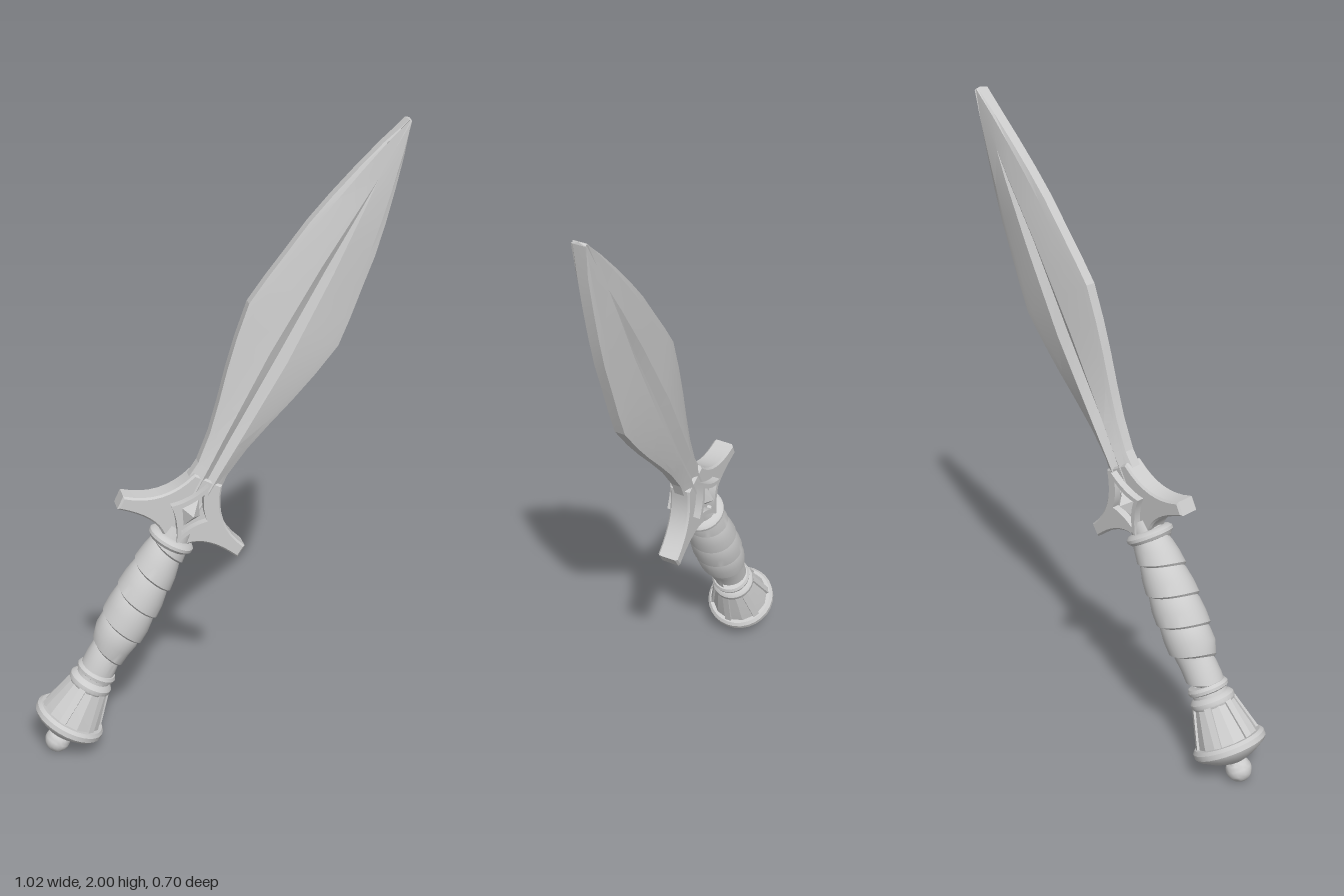
import * as THREE from 'three';
import { toCreasedNormals } from 'three/addons/utils/BufferGeometryUtils.js';

const material = new THREE.MeshStandardMaterial({ color: 0xcccccc, side: THREE.DoubleSide });

function part(parent, name, geometry, crease = 0.6) {
  const mesh = new THREE.Mesh(toCreasedNormals(geometry, crease), material);
  mesh.name = name;
  parent.add(mesh);
  return mesh;
}

const lathe = (points, sides) =>
  new THREE.LatheGeometry(points.map(([r, y]) => new THREE.Vector2(r, y)), sides);

// Linear lookup in a list of [position, value] pairs
function sample(table, t) {
  if (t <= table[0][0]) return table[0][1];
  for (let i = 1; i < table.length; i++) {
    const [t0, v0] = table[i - 1], [t1, v1] = table[i];
    if (t <= t1) return v0 + (v1 - v0) * (t - t0) / (t1 - t0);
  }
  return table[table.length - 1][1];
}

// Skin a stack of cross-sections, each running counter-clockwise seen from above
function loft(rings, closed) {
  const n = rings[0].length, index = [];
  for (let i = 0; i + 1 < rings.length; i++) {
    for (let j = 0; j < (closed ? n : n - 1); j++) {
      const k = (j + 1) % n;
      const a = i * n + j, b = i * n + k, c = b + n, d = a + n;
      index.push(a, b, c, a, c, d);
    }
  }
  const geometry = new THREE.BufferGeometry();
  geometry.setAttribute('position', new THREE.Float32BufferAttribute(rings.flat(2), 3));
  geometry.setIndex(index);
  return geometry;
}

// Leaf-shaped blade with flat edges, bevels and a tapering central groove
function bladeGeometry() {
  const halfWidth = [[0.95, 0.07], [1.0, 0.06], [1.1, 0.052], [1.2, 0.066], [1.3, 0.09], [1.4, 0.117],
    [1.5, 0.14], [1.61, 0.159], [1.7, 0.148], [1.8, 0.132], [1.9, 0.117], [2.0, 0.094],
    [2.1, 0.067], [2.2, 0.037], [2.29, 0.005]];
  const ridge = [[0.95, 0.036], [1.5, 0.038], [2.0, 0.032], [2.29, 0.019]];
  const grooveWidth = [[0.95, 0.018], [1.5, 0.032], [1.8, 0.022], [2.1, 0.001], [2.29, 0.001]];
  const grooveDepth = [[0.95, 0.01], [1.2, 0.02], [1.8, 0.016], [2.1, 0], [2.29, 0]];
  const rings = halfWidth.map(([t, w]) => {
    const h = sample(ridge, t), g = Math.min(sample(grooveWidth, t), w * 0.4);
    const bevel = w * 0.82, edge = 0.016;
    const front = [[-w, edge], [-bevel, edge + 0.006], [-g, h], [0, h - sample(grooveDepth, t)],
      [g, h], [bevel, edge + 0.006], [w, edge]];
    const back = front.map(([x, z]) => [-x, -z]);
    return [...back, ...front].map(([x, z]) => [x, t, z]);
  });
  // Close the blunt tip
  rings.push(rings[0].map(() => [0, 2.296, 0]));
  return loft(rings, true);
}

// Grip wound with one overlapping spiral strap
function gripGeometry() {
  const radius = [[0.33, 0.048], [0.42, 0.053], [0.46, 0.068], [0.52, 0.072], [0.6, 0.073],
    [0.7, 0.067], [0.84, 0.052]];
  const pitch = 0.1, sides = 32, rings = [];
  for (let turn = 0; turn < 7; turn++) {
    for (const [phase, lift] of [[0, 0], [0.07, 0.009], [0.5, 0.008], [0.9, 0.003]]) {
      const ring = [];
      for (let j = 0; j <= sides; j++) {
        const a = j / sides * Math.PI * 2;
        const t = THREE.MathUtils.clamp(0.32 + (turn + phase - j / sides + 0.5) * pitch, 0.33, 0.83);
        const r = sample(radius, t) + lift;
        ring.push([r * Math.cos(a), t, -r * Math.sin(a)]);
      }
      rings.push(ring);
    }
  }
  return loft(rings, false);
}

// Concave-sided diamond outline around the guard centre
function diamond(path, s) {
  const y = 0.95, w = 0.075 * s, h = 0.105 * s, k = 0.35;
  path.moveTo(w, y);
  path.quadraticCurveTo(w * k, y + h * k, 0, y + h);
  path.quadraticCurveTo(-w * k, y + h * k, -w, y);
  path.quadraticCurveTo(-w * k, y - h * k, 0, y - h);
  path.quadraticCurveTo(w * k, y - h * k, w, y);
  return path;
}

function buildGuard(parent) {
  const guard = new THREE.Group();
  guard.name = 'guard';
  parent.add(guard);

  // Drooping cross arms sweeping up to the blade
  const arms = new THREE.Shape();
  arms.moveTo(-0.04, 0.852);
  arms.lineTo(0.04, 0.852);
  arms.quadraticCurveTo(0.09, 0.9, 0.21, 0.875);
  arms.lineTo(0.212, 0.908);
  arms.quadraticCurveTo(0.085, 0.935, 0.045, 1.06);
  arms.lineTo(-0.045, 1.06);
  arms.quadraticCurveTo(-0.085, 0.935, -0.212, 0.908);
  arms.lineTo(-0.21, 0.875);
  arms.quadraticCurveTo(-0.09, 0.9, -0.04, 0.852);
  const armGeometry = new THREE.ExtrudeGeometry(arms, {
    depth: 0.056, curveSegments: 8, bevelThickness: 0.006, bevelSize: 0.006, bevelSegments: 1 });
  part(guard, 'crossArms', armGeometry.translate(0, 0, -0.028));

  // Raised diamond frame and faceted boss on both faces
  for (const turn of [0, Math.PI]) {
    const face = new THREE.Group();
    face.name = turn ? 'backOrnament' : 'frontOrnament';
    face.rotation.y = turn;
    guard.add(face);
    const frame = diamond(new THREE.Shape(), 1);
    frame.holes.push(diamond(new THREE.Path(), 0.72));
    const frameGeometry = new THREE.ExtrudeGeometry(frame, {
      depth: 0.03, curveSegments: 6, bevelEnabled: false });
    part(face, 'diamondFrame', frameGeometry.translate(0, 0, 0.028));
    const boss = new THREE.ConeGeometry(0.036, 0.045, 4).rotateX(Math.PI / 2).scale(1, 1.6, 1);
    part(face, 'diamondBoss', boss.translate(0, 0.95, 0.05), 0.1);
  }
}

function buildPommel(parent) {
  const pommel = new THREE.Group();
  pommel.name = 'pommel';
  parent.add(pommel);
  part(pommel, 'pommelBall', new THREE.SphereGeometry(0.041, 20, 14).translate(0, 0.05, 0), 1);
  part(pommel, 'pommelBase', lathe([[0, 0.075], [0.035, 0.078], [0.07, 0.092], [0.108, 0.115],
    [0.117, 0.126], [0.117, 0.142], [0.108, 0.152], [0.095, 0.152]], 28));
  part(pommel, 'pommelBell', lathe([[0.1, 0.145], [0.092, 0.18], [0.066, 0.275], [0, 0.275]], 12), 0.2);
  // Slim ribs up the bell
  for (let i = 0; i < 6; i++) {
    const rib = new THREE.Group();
    rib.name = 'pommelRib';
    rib.rotation.y = (i + 0.5) / 6 * Math.PI * 2;
    pommel.add(rib);
    const bar = part(rib, 'ribBar', new THREE.BoxGeometry(0.022, 0.125, 0.012));
    bar.position.set(0, 0.213, 0.081);
    bar.rotation.x = -0.27;
  }
  part(pommel, 'lowerCollar', lathe([[0.05, 0.262], [0.064, 0.264], [0.071, 0.275], [0.071, 0.288],
    [0.063, 0.298], [0.056, 0.302], [0.056, 0.312], [0.064, 0.316], [0.066, 0.326],
    [0.06, 0.336], [0.04, 0.338]], 28));
}

export function createModel() {
  const root = new THREE.Group();
  root.name = 'dagger';

  // Upright dagger, leaned into its resting pose
  const body = new THREE.Group();
  body.name = 'daggerBody';
  const along = new THREE.Vector3(0.416, 0.871, 0.261).normalize();
  const across = new THREE.Vector3(0.705, -0.5, 0.5);
  across.addScaledVector(along, -across.dot(along)).normalize();
  const facing = new THREE.Vector3().crossVectors(across, along);
  body.quaternion.setFromRotationMatrix(new THREE.Matrix4().makeBasis(across, along, facing));
  body.position.set(-0.456, 0, -0.274);
  root.add(body);

  part(body, 'blade', bladeGeometry(), 0.15);
  part(body, 'grip', gripGeometry());
  part(body, 'upperCollar', lathe([[0.045, 0.815], [0.066, 0.818], [0.075, 0.828], [0.075, 0.838],
    [0.066, 0.847], [0.052, 0.85], [0.048, 0.885], [0, 0.885]], 28));
  buildGuard(body);
  buildPommel(body);
  return root;
}
